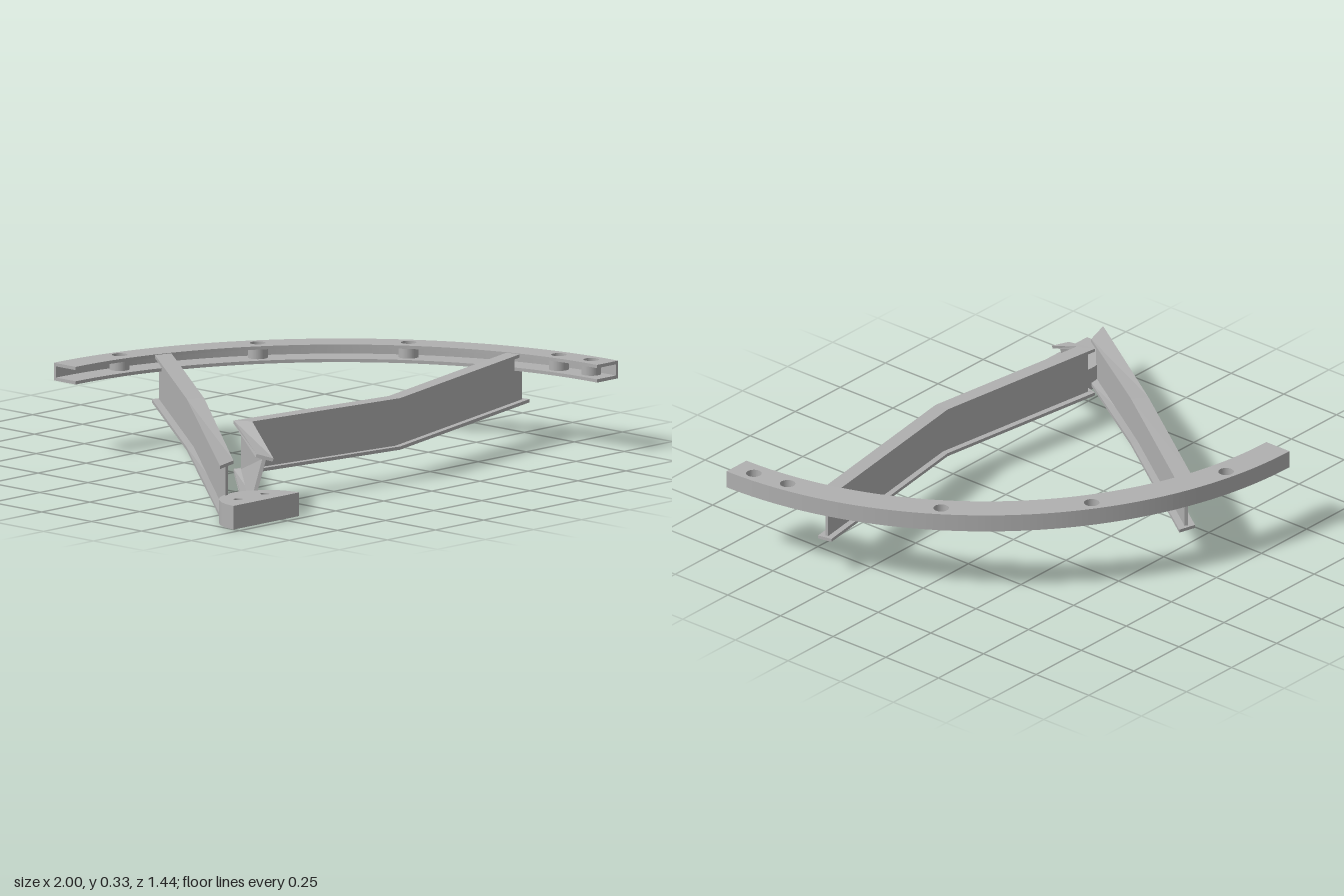
import * as THREE from 'three';

const steel = new THREE.MeshStandardMaterial({ color: 0xb0b0b0 });
steel.name = 'steel grey';

const T = 0.012;      // plate thickness
const DEPTH = 0.19;   // beam depth
const CX = -0.44, CZ = 0.72; // centre of the curved rail

function mesh(name, geometry) {
  const m = new THREE.Mesh(geometry, steel);
  m.name = name;
  return m;
}

// Solid skinned over a row of four-cornered rings
function prism(rings) {
  const pos = [];
  const quad = (a, b, c, d) => [a, b, c, a, c, d].forEach(p => pos.push(p.x, p.y, p.z));
  for (let k = 0; k + 1 < rings.length; k++) {
    for (let i = 0; i < 4; i++) {
      const j = (i + 1) % 4;
      quad(rings[k][i], rings[k + 1][i], rings[k + 1][j], rings[k][j]);
    }
  }
  quad(...rings[0]);
  quad(...[...rings[rings.length - 1]].reverse());
  const g = new THREE.BufferGeometry();
  g.setAttribute('position', new THREE.Float32BufferAttribute(pos, 3));
  g.computeVertexNormals();
  return g;
}

// Section frames along a path: mitred at bends, skewed or rolled at the ends
function frames(points, { startCut = 0, endCut = 0, roll = [0, 0] }) {
  const dirs = points.slice(1).map((p, i) =>
    new THREE.Vector3(p.x - points[i].x, 0, p.z - points[i].z).normalize());
  const side = d => new THREE.Vector3(-d.z, 0, d.x);
  const last = points.length - 1;
  return points.map((c, i) => {
    const d0 = dirs[Math.max(i - 1, 0)], d1 = dirs[Math.min(i, last - 1)];
    const s = side(d0).add(side(d1)).normalize();
    s.divideScalar(s.dot(side(d0)));
    const up = new THREE.Vector3(0, 1, 0);
    if (i === 0) {
      up.set(roll[0], 1, roll[1]);
      s.y = -(s.x * roll[0] + s.z * roll[1]);
      s.addScaledVector(d0, startCut);
    }
    if (i === last) s.addScaledVector(d1, endCut);
    return { c, s, up };
  });
}

function bar(frameList, halfWidth, low, high) {
  const corners = [[-1, low], [1, low], [1, high], [-1, high]];
  return prism(frameList.map(f => corners.map(([a, b]) =>
    f.c.clone().addScaledVector(f.s, a * halfWidth).addScaledVector(f.up, b))));
}

// I-beam whose lower half carries on under the curved rail
function beam(name, coords, halfWidth, reach, options) {
  const group = new THREE.Group();
  group.name = name;
  const pts = coords.map(p => new THREE.Vector3(...p));
  const end = pts[pts.length - 1];
  const dir = end.clone().sub(pts[pts.length - 2]).normalize();
  const ext = end.clone().addScaledVector(dir, reach);
  const webEnd = end.clone().addScaledVector(dir, reach - 0.015);
  const main = frames(pts, options);
  const lower = frames([...pts.slice(0, -1), ext], options);
  const seat = frames([end, webEnd], { startCut: options.endCut });
  group.add(
    mesh('topFlange', bar(main, halfWidth, -T, 0)),
    mesh('web', bar(main, T / 2, -DEPTH + T, -T)),
    mesh('bottomFlange', bar(lower, halfWidth, -DEPTH, -DEPTH + T)),
    mesh('railSeatWeb', bar(seat, T / 2, -DEPTH + T, -0.063)));
  return group;
}

// Horizontal plate lying on height y; shapes use (x, -z)
function plate(name, shape, y, thickness) {
  const g = new THREE.ExtrudeGeometry(shape, { depth: thickness, bevelEnabled: false, curveSegments: 48 });
  g.rotateX(-Math.PI / 2);
  g.translate(0, y, 0);
  return mesh(name, g);
}

function addHole(shape, x, z, r) {
  const h = new THREE.Path();
  h.absarc(x, -z, r, 0, Math.PI * 2, true);
  shape.holes.push(h);
}

function quarterRing(inner, outer) {
  const s = new THREE.Shape();
  s.absarc(CX, -CZ, outer, 0, Math.PI / 2, false);
  s.absarc(CX, -CZ, inner, Math.PI / 2, 0, true);
  s.closePath();
  return s;
}

export function createModel() {
  const model = new THREE.Group();
  model.name = 'curvedRailBracket';

  // Curved channel rail, open to the inside, with bolt sleeves
  const rail = new THREE.Group();
  rail.name = 'curvedRail';
  const y0 = 0.265, y1 = 0.33;
  const bolts = [[-0.17, -0.65], [0.33, -0.44], [0.715, -0.055], [0.93, 0.49], [0.948, 0.635]];
  const top = quarterRing(1.33, 1.44), bottom = quarterRing(1.33, 1.44);
  for (const [x, z] of bolts) {
    addHole(top, x, z, 0.028);
    addHole(bottom, x, z, 0.015);
    const ring = new THREE.Shape();
    ring.absarc(x, -z, 0.036, 0, Math.PI * 2, false);
    addHole(ring, x, z, 0.028);
    rail.add(plate('boltSleeve', ring, y0 + T, y1 - y0 - 2 * T));
  }
  rail.add(
    plate('railTopFlange', top, y1 - T, T),
    plate('railBottomFlange', bottom, y0, T),
    plate('railWeb', quarterRing(1.44 - T, 1.44), y0 + T, y1 - y0 - 2 * T));
  model.add(rail);

  // Half-round foot plate with two bolt holes
  const foot = new THREE.Shape();
  foot.absarc(-0.83, -0.72, 0.17, 0, Math.PI, false);
  foot.closePath();
  addHole(foot, -0.9, 0.648, 0.017);
  addHole(foot, -0.762, 0.648, 0.017);
  model.add(plate('footPlate', foot, 0, 0.087));

  // Beam straight in plan, rising from the foot to the rail
  model.add(beam('straightBeam',
    [[-0.878, 0.205, 0.568], [-0.45, 0.3, 0], [-0.045, 0.328, -0.553]],
    0.032, 0.065, { startCut: 1.4, endCut: 0.37 }));

  // Cranked beam with a short twisted leg down to the foot
  model.add(beam('crankedBeam',
    [[-0.715, 0.212, 0.603], [-0.622, 0.3, 0.403], [0.07, 0.3, 0.495], [0.838, 0.328, 0.35]],
    0.028, 0.065, { startCut: -0.45, endCut: 0, roll: [0.24, 0.14] }));

  return model;
}
